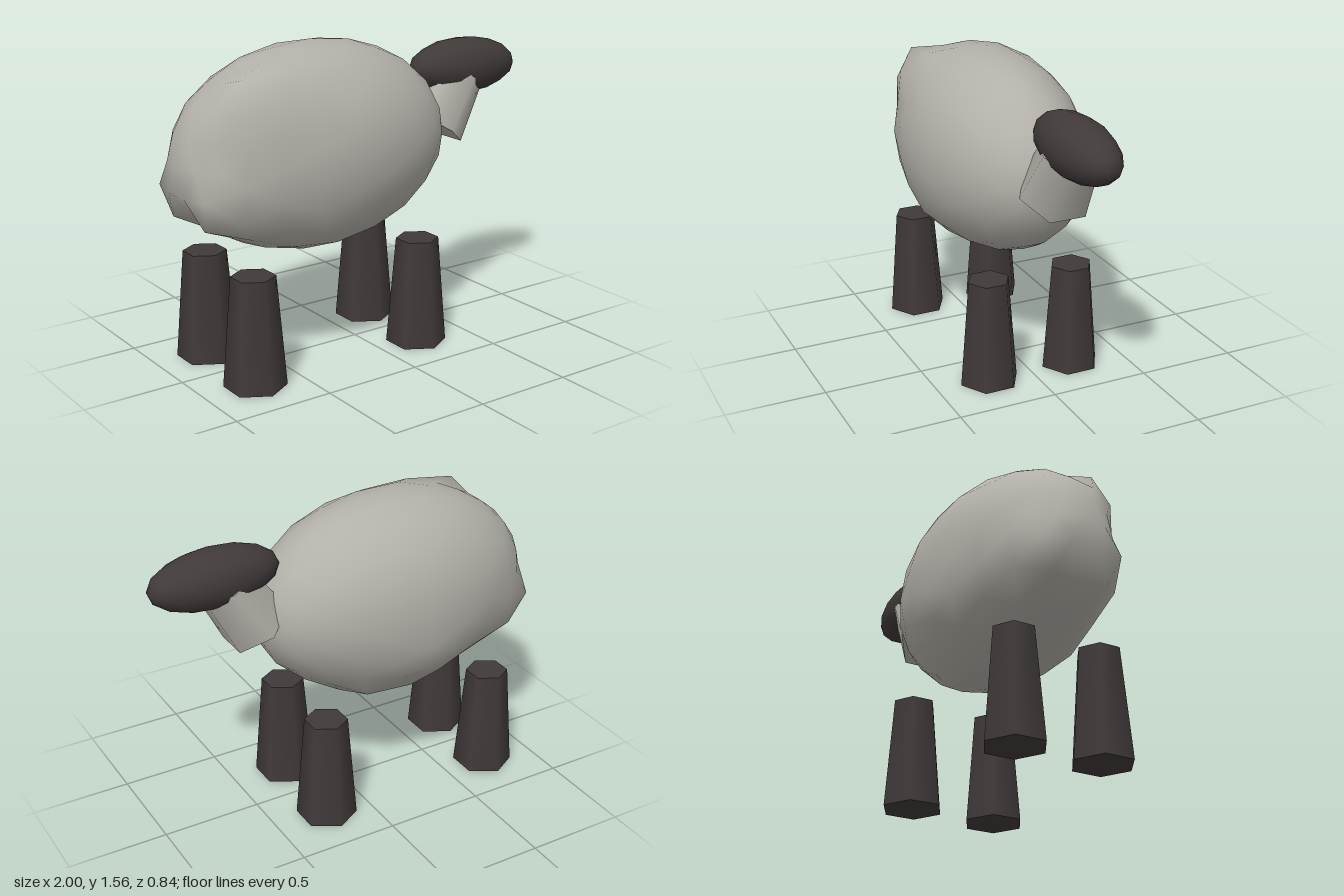
import * as THREE from 'three';
import { mergeVertices } from 'three/addons/utils/BufferGeometryUtils.js';

// Smooth low-poly ball with indexed vertices
function ball(detail) {
  const geo = new THREE.IcosahedronGeometry(1, detail);
  geo.deleteAttribute('normal');
  geo.deleteAttribute('uv');
  return mergeVertices(geo, 1e-4);
}

export function createModel() {
  const group = new THREE.Group();
  const wool = new THREE.MeshStandardMaterial({ color: 0xb2b0a8 });
  wool.name = 'grey wool';
  const dark = new THREE.MeshStandardMaterial({ color: 0x403a39 });
  dark.name = 'dark skin';

  const add = (name, geo, mat, x, y, z) => {
    const mesh = new THREE.Mesh(geo, mat);
    mesh.name = name;
    mesh.position.set(x, y, z);
    group.add(mesh);
    return mesh;
  };

  // Woolly body: an ellipsoid with a few tufts pulled out of it
  const radii = new THREE.Vector3(0.74, 0.505, 0.422);
  const centre = new THREE.Vector3(-0.26, 1.055, 0);
  const tufts = [
    [-0.95, 0.82, 0.2], [-0.95, 0.82, -0.2],
    [-0.74, 1.43, 0.27], [-0.3, 0.78, -0.39],
    [-0.1, 0.57, -0.2], [-0.4, 0.68, 0.3],
  ].map((p) => new THREE.Vector3(...p).sub(centre).divide(radii));
  const body = ball(3);
  const pos = body.attributes.position;
  const v = new THREE.Vector3();
  for (let i = 0; i < pos.count; i++) {
    v.fromBufferAttribute(pos, i);
    let size = 1;
    for (const t of tufts) {
      const falloff = Math.max(0, 1 - v.angleTo(t) / 0.42);
      size = Math.max(size, 1 + (t.length() - 1) * Math.min(1, falloff * 1.3));
    }
    v.multiplyScalar(size).multiply(radii);
    pos.setXYZ(i, v.x, v.y, v.z);
  }
  body.computeVertexNormals();
  add('body', body, wool, centre.x, centre.y, centre.z);

  // Tapered six-sided neck leaning forward
  const neck = add('neck', new THREE.CylinderGeometry(0.147, 0.182, 0.3, 6), wool, 0.552, 1.167, 0);
  neck.rotation.z = -0.585;

  // Long oval head
  const head = ball(2);
  head.scale(0.328, 0.144, 0.145);
  head.computeVertexNormals();
  add('head', head, dark, 0.674, 1.327, 0).rotation.z = -0.03;

  // Four tapered six-sided legs
  const leg = new THREE.CylinderGeometry(0.106, 0.151, 0.545, 6);
  for (const [end, x] of [['front', 0.22], ['rear', -0.733]]) {
    for (const [side, z] of [['Near', 0.224], ['Far', -0.224]]) {
      add(end + side + 'Leg', leg, dark, x, 0.2725, z);
    }
  }
  return group;
}
